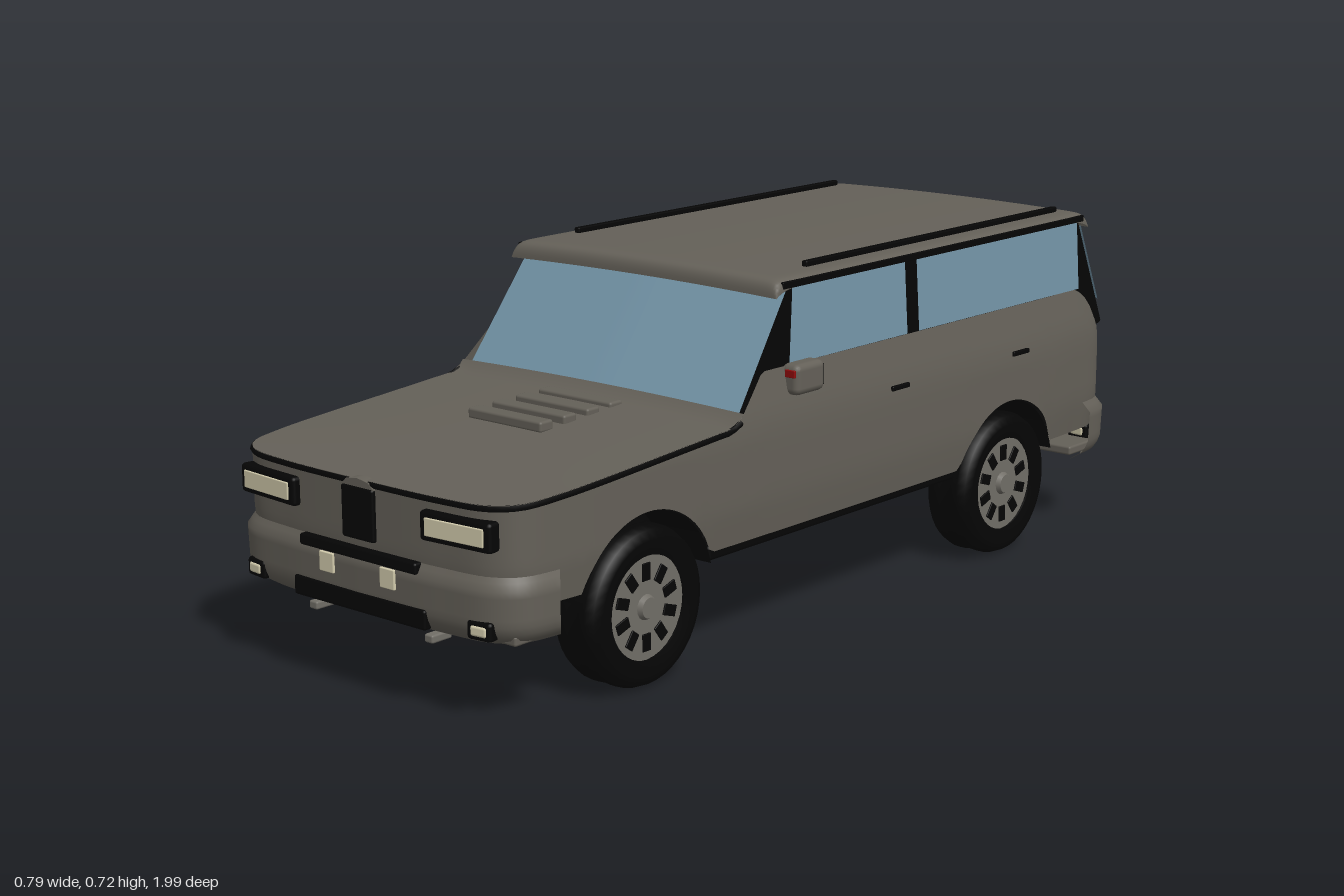
import * as THREE from 'three';
import { RoundedBoxGeometry } from 'three/addons/geometries/RoundedBoxGeometry.js';

const paint = (name, color) => Object.assign(new THREE.MeshStandardMaterial({ color, side: THREE.DoubleSide }), { name });
const lerp = THREE.MathUtils.lerp;

// Piecewise linear lookup in rising [t, value] pairs
function interp(table, t) {
  if (t <= table[0][0]) return table[0][1];
  for (let i = 1; i < table.length; i++) {
    const [t0, a] = table[i - 1], [t1, b] = table[i];
    if (t <= t1) return lerp(a, b, (t - t0) / (t1 - t0));
  }
  return table[table.length - 1][1];
}

// Smooth grid surface from fn(u, v) -> [x, y, z], u and v in 0..1
function surface(nu, nv, fn) {
  const pos = [], index = [];
  for (let i = 0; i <= nu; i++) for (let j = 0; j <= nv; j++) pos.push(...fn(i / nu, j / nv));
  for (let i = 0; i < nu; i++) for (let j = 0; j < nv; j++) {
    const a = i * (nv + 1) + j, b = a + nv + 1;
    index.push(a, b, a + 1, b, b + 1, a + 1);
  }
  const g = new THREE.BufferGeometry();
  g.setAttribute('position', new THREE.Float32BufferAttribute(pos, 3));
  g.setIndex(index);
  g.computeVertexNormals();
  return g;
}

// Half of the body outline in plan, front centre to rear centre
const outline = new THREE.CatmullRomCurve3([
  [0, 0.985], [0.2, 0.98], [0.31, 0.965], [0.353, 0.93], [0.37, 0.85], [0.379, 0.5], [0.383, 0],
  [0.383, -0.5], [0.38, -0.8], [0.365, -0.91], [0.32, -0.952], [0.2, -0.967], [0, -0.972],
].map(([x, z]) => new THREE.Vector3(x, 0, z)), false, 'centripetal');
const uAt = (z) => {
  let lo = 0, hi = 1;
  for (let i = 0; i < 24; i++) { const m = (lo + hi) / 2; if (outline.getPointAt(m).z > z) lo = m; else hi = m; }
  return lo;
};
const inset = (y) => interp([[0.2, 0.01], [0.29, 0], [0.42, 0], [0.46, 0.004], [0.54, 0.02]], y);
const topY = (z) => interp([[-0.962, 0.515], [-0.95, 0.485], [-0.935, 0.485], [-0.85, 0.54], [0.285, 0.54], [0.37, 0.452], [0.98, 0.41]], z);
const wheelZ = [0.62, -0.54];
const bottomY = (z) => wheelZ.reduce((y, c) => {
  const d = 0.185 ** 2 - (z - c) ** 2;
  return d > 0 ? Math.max(y, 0.155 + Math.sqrt(d)) : y;
}, 0.22);
// Point on the body shell; u in -1..1 runs round the car, out pushes it outwards
function shell(u, y, out = 0) {
  const p = outline.getPointAt(Math.abs(u)), o = out - inset(y);
  return [Math.sign(u) * p.x * (1 + o / 0.38), y, p.z + o * THREE.MathUtils.clamp(p.z * 1.3, -1.3, 1)];
}

// Cabin taper, v = 0 at the cowl and 1 under the roof
const cabY = (v) => 0.45 + 0.25 * v;
const cabW = (v) => 0.364 - 0.0165 * v;
const cabFront = (a, v) => 0.352 - 0.185 * v + 0.012 * (1 - Math.abs(a));
const cabBack = (a, v) => -0.955 + 0.09 * v - 0.012 * (1 - a * a) + 0.045 * (Math.max(0, Math.abs(a) - 0.925) / 0.075) ** 2;

export function createModel() {
  const car = new THREE.Group();
  car.name = 'car';
  const body = paint('body paint', 0x646058), black = paint('black trim', 0x050505), glass = paint('glass', 0x7394a7);
  const lens = paint('cream lens', 0xd2cbac), red = paint('red lamp', 0x900a0a), metal = paint('grey metal', 0x716e67);
  const steel = paint('dark steel', 0x4f4d49);
  const add = (name, geo, mat, x = 0, y = 0, z = 0, parent = car) => {
    const m = new THREE.Mesh(geo, mat);
    m.name = name;
    m.position.set(x, y, z);
    parent.add(m);
    return m;
  };
  const box = (name, mat, w, h, d, x, y, z, parent) =>
    add(name, new RoundedBoxGeometry(w, h, d, 2, Math.min(w, h, d) * 0.25), mat, x, y, z, parent);
  const pair = (fn) => [1, -1].forEach(fn);
  const rod = (name, mat, r, a, b) => add(name, new THREE.TubeGeometry(
    new THREE.LineCurve3(new THREE.Vector3(...a), new THREE.Vector3(...b)), 1, r, 10), mat);

  // Painted body with wheel arches
  add('bodyShell', surface(360, 12, (u, v) => {
    const s = u * 2 - 1, z = outline.getPointAt(Math.abs(s)).z;
    return shell(s, lerp(bottomY(z), topY(z), v));
  }), body);

  // Hood, from the outline edge straight back and up to the cowl
  const uHood = uAt(0.36);
  const hoodY = (x, z) => topY(z) + 0.006 * (1 - (x / 0.38) ** 2) * (1 - Math.max(0, (z - 0.36) / 0.625) ** 4);
  add('hood', surface(80, 30, (u, v) => {
    const s = (u * 2 - 1) * uHood;
    const e = shell(s, topY(outline.getPointAt(Math.abs(s)).z));
    const z = lerp(e[2], 0.35, v);
    return [e[0], hoodY(e[0], z), z];
  }), body);
  for (let i = 0; i < 4; i++) box('hoodVent', body, 0.195, 0.022, 0.036, 0, 0.453 - i * 0.001, 0.4 + i * 0.065);

  // Dark seams round the hood and across the tailgate
  const seam = (name, u0, u1) => {
    const pts = [];
    for (let i = 0; i <= 60; i++) {
      const u = lerp(u0, u1, i / 60);
      pts.push(new THREE.Vector3(...shell(u, Math.min(0.482, topY(outline.getPointAt(Math.abs(u)).z)) - 0.006, -0.001)));
    }
    add(name, new THREE.TubeGeometry(new THREE.CatmullRomCurve3(pts), 90, 0.006, 6), black);
  };
  seam('hoodSeam', -uHood, uHood);
  pair((s) => seam('tailgateSeam', s * uAt(-0.93), s));

  // Cabin pillars with glass panes laid over them
  const ring = [];
  for (let i = 0; i <= 10; i++) ring.push([i / 10, cabFront]);
  for (let i = 40; i >= 0; i--) ring.push([i / 40, cabBack]);
  pair((s) => add('pillars', surface(ring.length - 1, 8, (u, v) => {
    const [a, f] = ring[Math.round(u * (ring.length - 1))];
    return [s * a * cabW(v), cabY(v), f(a, v)];
  }), black));
  add('windshield', surface(20, 4, (u, t) => {
    const a = u * 2 - 1, v = lerp(0.04, 0.96, t);
    return [a * (cabW(v) - 0.004), cabY(v), cabFront(a, v) + 0.005];
  }), glass);
  add('rearWindow', surface(40, 6, (u, t) => {
    const a = (u * 2 - 1) * 0.955, v = lerp(0.2, 0.99, t);
    return [a * cabW(v), cabY(v), cabBack(a, v) - 0.007];
  }), glass);
  pair((s) => [[0.195, 0.175, -0.19], [-0.23, -0.23, -0.83]].forEach(([low, high, back]) =>
    add('sideWindow', surface(1, 2, (u, t) => {
      const v = lerp(0.36, 0.97, t);
      return [s * (cabW(v) + 0.004), cabY(v), lerp(lerp(low, high, t), back, u)];
    }), glass)));

  // Roof slab with deeper lips at the ends, gutters and rails
  add('roof', surface(48, 64, (u, v) => {
    const a = Math.sin((u - 0.5) * Math.PI), b = Math.sin((v - 0.5) * Math.PI);
    const edge = Math.sqrt(Math.max(0, 1 - Math.abs(a) ** 50)) * Math.sqrt(Math.max(0, 1 - Math.abs(b) ** 50));
    return [a * 0.354, lerp(lerp(0.69, 0.672, Math.abs(b) ** 20), 0.707, edge) + 0.006 * (1 - a * a), -0.324 + b * 0.55];
  }), body);
  pair((s) => {
    box('gutter', black, 0.008, 0.014, 1.06, s * 0.3505, 0.694, -0.325);
    box('roofRail', black, 0.014, 0.012, 0.89, s * 0.305, 0.715, -0.365);
  });

  // Bumpers wrapping the ends
  const bumper = (name, u0, u1, sign) => add(name, surface(70, 10, (u, v) => {
    const out = interp([[0, -0.02], [0.08, -0.002], [0.25, 0.009], [0.8, 0.011], [1, -0.003]], v);
    const s = lerp(u0, u1, u) * sign;
    return shell(s, lerp(0.152, 0.285, v), out + inset(lerp(0.152, 0.285, v)));
  }), body);
  const uF = uAt(0.85), uR = uAt(-0.84);
  bumper('frontBumper', -uF, uF, 1);
  pair((s) => bumper('rearBumper', uR, 1, s));
  box('frontBumperFloor', body, 0.7, 0.02, 0.1, 0, 0.165, 0.895);
  box('rearBumperFloor', body, 0.7, 0.02, 0.1, 0, 0.165, -0.885);

  // Front face
  box('grille', black, 0.084, 0.1, 0.02, 0, 0.347, 0.983);
  const cap = add('grilleCap', new THREE.CylinderGeometry(0.042, 0.046, 0.02, 8), body, 0, 0.396, 0.98);
  cap.rotation.x = Math.PI / 2;
  cap.scale.z = 0.4;
  box('frontBar', black, 0.31, 0.022, 0.02, 0, 0.272, 0.988);
  box('frontIntake', black, 0.35, 0.038, 0.02, 0, 0.18, 0.987);
  pair((s) => {
    const lamp = new THREE.Group();
    lamp.name = 'headlight';
    lamp.position.set(s * 0.248, 0.357, 0.976);
    lamp.rotation.y = s * 0.08;
    car.add(lamp);
    box('headlightFrame', black, 0.165, 0.056, 0.03, 0, 0, 0, lamp);
    box('headlightLens', lens, 0.136, 0.034, 0.008, 0, 0, 0.014, lamp);
    box('frontMarker', lens, 0.038, 0.038, 0.008, s * 0.081, 0.241, 0.995);
  });

  // Rear face
  box('rearPanel', black, 0.066, 0.1, 0.014, 0, 0.375, -0.97);
  box('rearPanelLamp', red, 0.05, 0.012, 0.008, 0, 0.398, -0.976);
  box('rearPanelPlate', metal, 0.05, 0.026, 0.006, 0, 0.374, -0.976);
  box('rearPanelWindow', glass, 0.05, 0.026, 0.006, 0, 0.344, -0.976);
  box('rearIntake', black, 0.35, 0.038, 0.02, 0, 0.18, -0.973);
  pair((s) => {
    box('tailLight', red, 0.085, 0.018, 0.014, s * 0.145, 0.398, -0.969).rotation.z = s * 0.1;
    box('rearMarker', lens, 0.038, 0.038, 0.008, s * 0.081, 0.241, -0.982);
    // Fog lights at both ends
    [[0.971, 1], [-0.96, -1]].forEach(([z, e]) => {
      box('fogFrame', black, 0.055, 0.036, 0.028, s * 0.297, 0.184, z).rotation.y = s * e * 0.12;
      box('fogLens', lens, 0.036, 0.02, 0.034, s * 0.297, 0.184, z).rotation.y = s * e * 0.12;
    });
  });

  // Mirrors, handles and sills
  pair((s) => {
    add('mirror', new RoundedBoxGeometry(0.044, 0.062, 0.09, 2, 0.014), body, s * 0.374, 0.514, 0.167);
    box('mirrorLamp', red, 0.024, 0.015, 0.006, s * 0.378, 0.527, 0.212);
    box('mirrorGlass', black, 0.03, 0.042, 0.004, s * 0.374, 0.514, 0.122);
    box('mirrorArm', black, 0.03, 0.02, 0.04, s * 0.358, 0.488, 0.17);
    [-0.14, -0.575].forEach((z) => box('doorHandle', black, 0.012, 0.01, 0.058, s * 0.381, 0.441, z));
    box('sill', black, 0.03, 0.03, 0.8, s * 0.352, 0.215, 0.04);
  });

  // Dark floor and wheel wells
  box('floorCore', black, 0.5, 0.2, 1.82, 0, 0.31, 0);
  [[0.445, -0.365], [0.9, 0.8], [-0.72, -0.89]].forEach(([a, b]) =>
    box('floor', black, 0.68, 0.03, a - b, 0, 0.228, (a + b) / 2));
  pair((s) => wheelZ.forEach((zc) => add('wheelWell', surface(24, 1, (u, v) => {
    const t = lerp(0.25, Math.PI - 0.25, u);
    return [s * lerp(0.25, 0.374, v), 0.155 + 0.183 * Math.sin(t), zc + 0.183 * Math.cos(t)];
  }), black)));

  // Wheels
  const tyreGeo = new THREE.LatheGeometry([
    [0.1, -0.048], [0.13, -0.055], [0.148, -0.047], [0.155, -0.03], [0.155, -0.014], [0.15, -0.012], [0.15, 0.012],
    [0.155, 0.014], [0.155, 0.03], [0.148, 0.047], [0.13, 0.055], [0.1, 0.048],
  ].map(([r, h]) => new THREE.Vector2(r, h)), 40);
  pair((s) => wheelZ.forEach((z) => {
    const wheel = new THREE.Group();
    wheel.name = 'wheel';
    wheel.position.set(s * 0.325, 0.155, z);
    wheel.rotation.z = -s * Math.PI / 2;
    car.add(wheel);
    add('tyre', tyreGeo, black, 0, 0, 0, wheel);
    add('rim', new THREE.CylinderGeometry(0.102, 0.102, 0.085, 32), metal, 0, 0, 0, wheel);
    add('hub', new THREE.CylinderGeometry(0.02, 0.026, 0.012, 16), metal, 0, 0.046, 0, wheel);
    for (let i = 0; i < 10; i++) {
      const t = i * Math.PI / 5;
      const slot = box('rimSlot', black, 0.034, 0.006, 0.022, Math.cos(t) * 0.068, 0.0425, Math.sin(t) * 0.068, wheel);
      slot.rotation.y = -t;
    }
    box('brakeCaliper', red, 0.03, 0.02, 0.045, s * -0.035, -0.048, 0.03, wheel);
  }));

  // Chassis, axles and exhaust
  pair((s) => {
    box('chassisRail', black, 0.035, 0.04, 1.6, s * 0.17, 0.2, 0);
    wheelZ.forEach((z) => rod('suspensionArm', steel, 0.009, [s * 0.27, 0.125, z], [s * 0.18, 0.18, z + 0.12]));
    [0.945, -0.925].forEach((z) => box('towHook', metal, 0.022, 0.016, 0.05, s * 0.155, 0.136, z));
  });
  [0.3, 0.05, -0.25].forEach((z) => rod('crossMember', steel, 0.012, [-0.3, 0.198, z], [0.3, 0.198, z]));
  wheelZ.forEach((z) => {
    rod('axle', steel, 0.016, [-0.28, 0.15, z], [0.28, 0.15, z]);
    add('differential', new THREE.SphereGeometry(0.045, 16, 12), steel, 0, 0.15, z);
  });
  rod('tieRod', metal, 0.006, [-0.18, 0.111, 0.7], [0.18, 0.111, 0.7]);
  rod('driveShaft', steel, 0.014, [0, 0.165, 0.62], [0, 0.155, -0.54]);
  box('gearbox', black, 0.12, 0.06, 0.24, 0, 0.185, 0.0);
  box('differentialGuard', black, 0.09, 0.04, 0.1, 0, 0.1, -0.54);
  rod('exhaustPipe', steel, 0.011, [0.1, 0.185, 0.4], [0.1, 0.185, -0.9]);
  const muffler = add('muffler', new THREE.CylinderGeometry(0.04, 0.04, 0.2, 16), steel, 0.1, 0.19, -0.28);
  muffler.rotation.x = Math.PI / 2;
  const tank = add('fuelTank', new THREE.CylinderGeometry(0.11, 0.1, 0.06, 24), black, 0, 0.19, -0.74);
  tank.scale.x = 1.2;
  return car;
}
